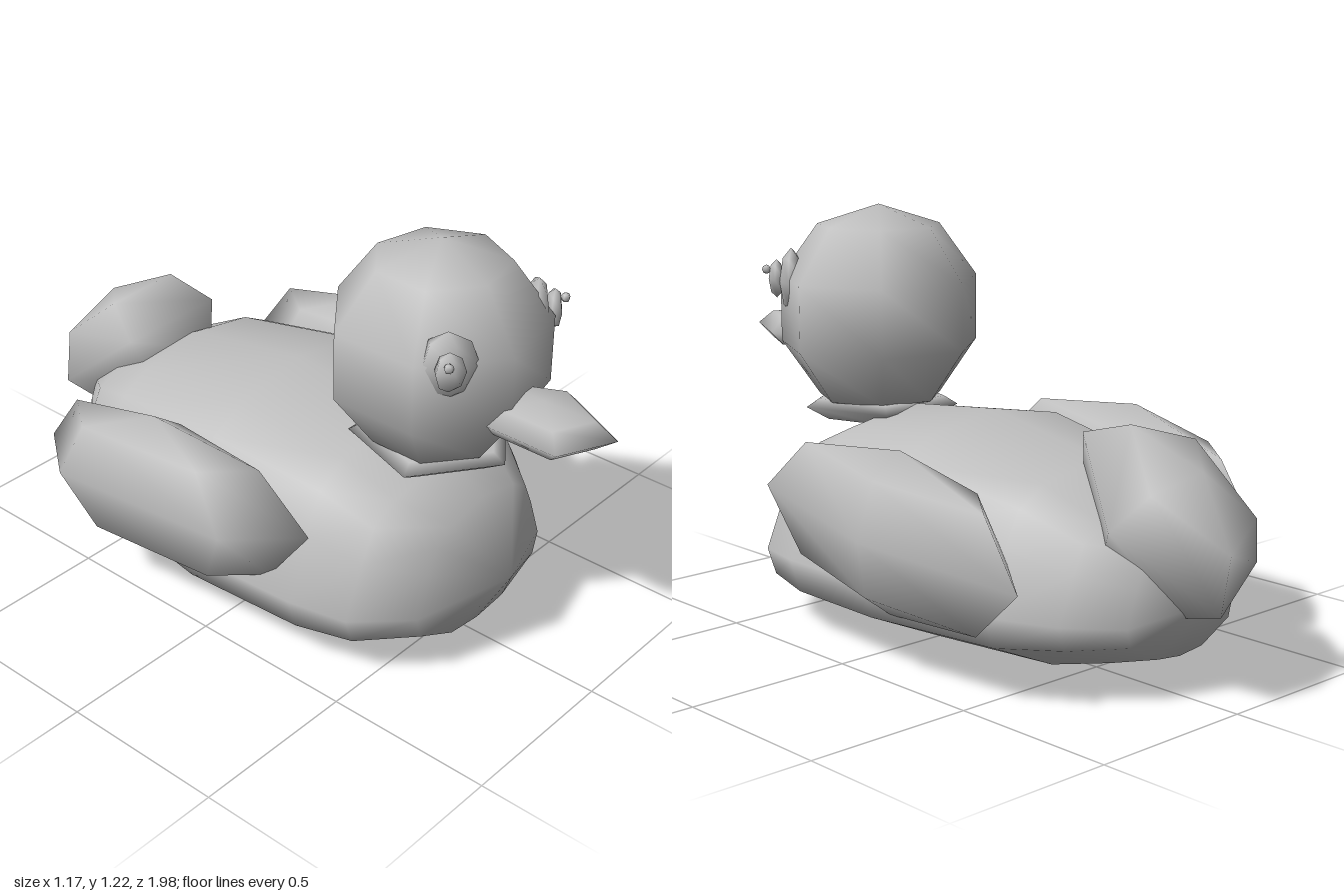
import * as THREE from 'three';
import { mergeVertices } from 'three/addons/utils/BufferGeometryUtils.js';

const CX = -0.015; // shared centre line

export function createModel() {
  const model = new THREE.Group();
  model.name = 'duck';
  const grey = new THREE.MeshStandardMaterial({ color: 0xbfbfbf });
  grey.name = 'plain grey';

  const add = (name, geometry, parent = model) => {
    const mesh = new THREE.Mesh(geometry, grey);
    mesh.name = name;
    parent.add(mesh);
    return mesh;
  };

  // Coarse smooth ellipsoid whose first corner points to +x
  const blob = (name, radii, pos, sides, rings, parent) => {
    const g = new THREE.SphereGeometry(1, sides, rings, Math.PI).scale(...radii);
    const mesh = add(name, g, parent);
    mesh.position.set(...pos);
    return mesh;
  };

  // Body: flat-bottomed cross-sections lofted from breast to rump
  add('body', bodyGeometry());

  // Head and beak
  blob('head', [0.322, 0.322, 0.322], [CX, 0.897, 0.436], 7, 5);
  blob('beak', [0.148, 0.06, 0.215], [CX, 0.802, 0.785], 5, 4);

  // Collar: a five-sided ring with a sharp rim
  const profile = [[0.12, 0.575], [0.17, 0.575], [0.24, 0.617], [0.2, 0.64], [0.12, 0.64]];
  const collar = add('collar', new THREE.LatheGeometry(
    profile.map(([r, y]) => new THREE.Vector2(r, y)), 5));
  collar.position.set(CX, 0, 0.436);

  // Tail, tipped down towards the back
  blob('tail', [0.23, 0.185, 0.336], [CX, 0.473, -0.737], 5, 4).rotation.x = -0.69;

  // Wings
  for (const [name, x] of [['leftWing', 0.442], ['rightWing', -0.486]]) {
    blob(name, [0.134, 0.235, 0.546], [x, 0.4, -0.166], 5, 4).rotation.x = -0.098;
  }

  // Eyes: flattened eyeball, pupil and a tiny glint, turned outwards
  for (const side of [1, -1]) {
    const eye = new THREE.Group();
    eye.name = side > 0 ? 'leftEye' : 'rightEye';
    eye.position.set(CX + side * 0.195, 0.987, 0.615);
    eye.rotation.y = side * 0.8;
    model.add(eye);
    blob('eyeball', [0.085, 0.1, 0.035], [0, 0, 0], 5, 4, eye);
    blob('pupil', [0.045, 0.058, 0.024], [0, 0.007, 0.045], 5, 4, eye);
    blob('glint', [0.014, 0.014, 0.014], [side * 0.005, 0.035, 0.075], 5, 4, eye);
  }
  return model;
}

function bodyGeometry() {
  // Half outline from the keel up to the back: share of half width, share of height
  const half = [[0, 0], [0.42, 0.03], [0.93, 0.2], [1, 0.36], [0.84, 0.66], [0.72, 0.84], [0.5, 0.93], [0, 1]];
  const outline = [...half, ...half.slice(1, -1).reverse().map(([x, y]) => [-x, y])];
  // z, half width, bottom, top
  const sections = [
    [0.72, 0, 0.265, 0.265],
    [0.61, 0.28, 0.07, 0.485],
    [0.47, 0.415, 0.035, 0.55],
    [0.3, 0.46, 0.003, 0.63],
    [-0.07, 0.5, 0.012, 0.668],
    [-0.49, 0.43, 0.03, 0.595],
    [-0.67, 0.34, 0.075, 0.5],
    [-0.79, 0.21, 0.105, 0.43],
    [-0.88, 0, 0.27, 0.27],
  ];
  const n = outline.length;
  const points = [], index = [];
  sections.forEach(([z, w, low, high], i) => {
    outline.forEach(([x, y], j) => {
      points.push(CX + x * w, low + y * (high - low), z);
      if (i === sections.length - 1) return;
      const a = i * n + j, b = i * n + (j + 1) % n;
      if (i > 0) index.push(a, b + n, b);
      if (i < sections.length - 2) index.push(a, a + n, b + n);
      // Closing fans at breast and rump
      if (i === 0) index.push(a, a + n, b + n);
      if (i === sections.length - 2) index.push();
    });
  });
  const g = new THREE.BufferGeometry();
  g.setAttribute('position', new THREE.Float32BufferAttribute(points, 3));
  g.setIndex(index);
  const merged = mergeVertices(g);
  merged.computeVertexNormals();
  return merged;
}
